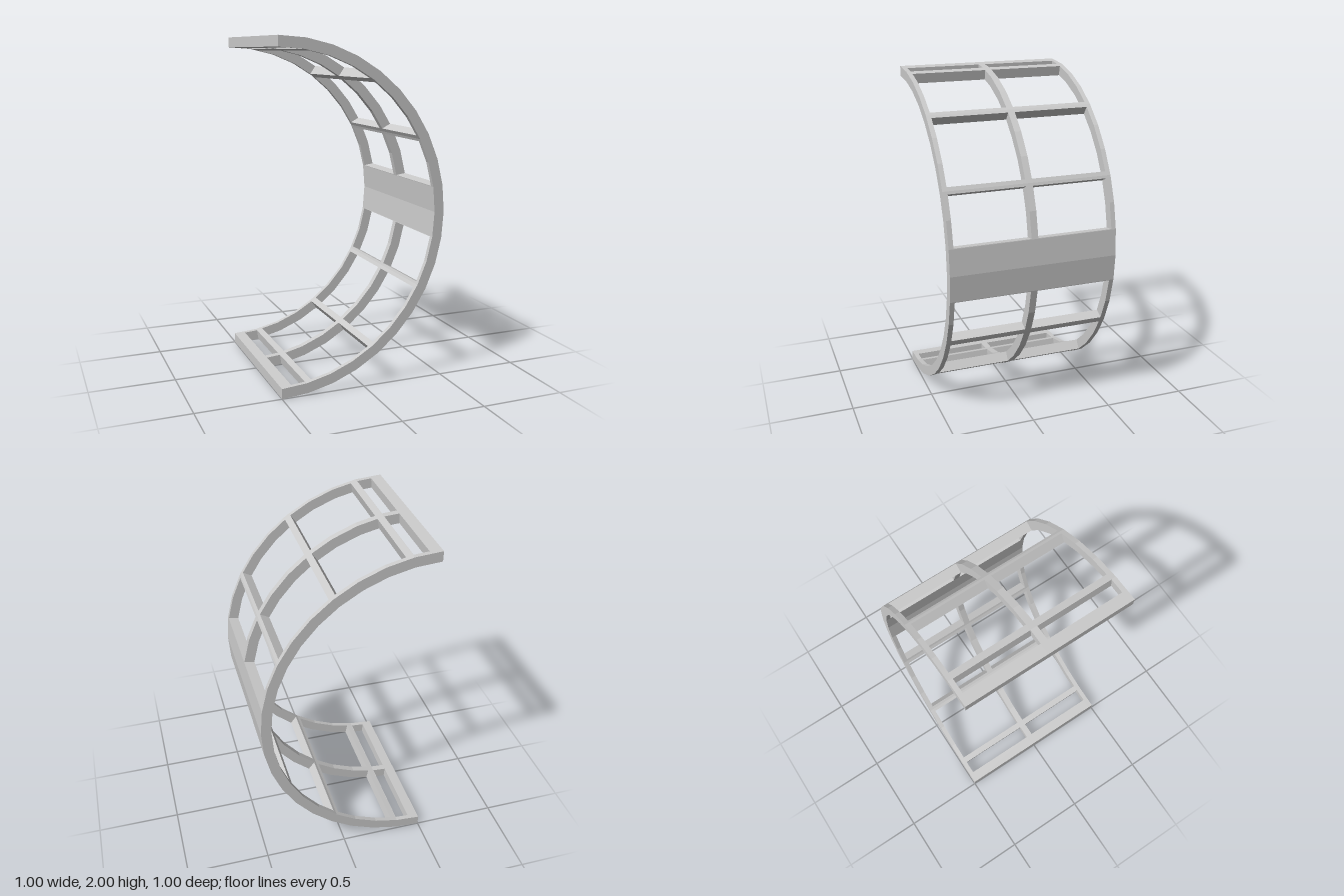
import * as THREE from 'three';

const STEP = 9;            // degrees per facet of the half ring
const OUTER = 1, INNER = 0.94;
const HALF = 0.5, RAIL = 0.028, MID = 0.02;

const material = new THREE.MeshStandardMaterial({ color: 0xcccccc, flatShading: true });

// Point on the faceted arc; the angle runs in degrees from the top (0) to the bottom (180)
function arcPoint(angle, radius) {
  const vertex = (k) => {
    const a = THREE.MathUtils.degToRad(k * STEP);
    return new THREE.Vector2(radius * Math.sin(a) - 0.5, radius * Math.cos(a) + 1);
  };
  const k = Math.floor(angle / STEP);
  return vertex(k).lerp(vertex(k + 1), angle / STEP - k);
}

// Faceted ring sector between two angles, extruded from z0 to z1
function sector(name, from, to, z0, z1) {
  const angles = [from];
  for (let a = (Math.floor(from / STEP) + 1) * STEP; a < to - 1e-6; a += STEP) angles.push(a);
  angles.push(to);
  const outline = [
    ...angles.map((a) => arcPoint(a, OUTER)),
    ...angles.reverse().map((a) => arcPoint(a, INNER)),
  ];
  const geometry = new THREE.ExtrudeGeometry(new THREE.Shape(outline), { depth: z1 - z0, bevelEnabled: false });
  geometry.translate(0, 0, z0);
  const mesh = new THREE.Mesh(geometry, material);
  mesh.name = name;
  return mesh;
}

export function createModel() {
  const group = new THREE.Group();
  group.name = 'curvedFrame';

  // Three curved rails
  group.add(
    sector('frontRail', 0, 180, HALF - RAIL, HALF),
    sector('middleRail', 0, 180, -MID, MID),
    sector('backRail', 0, 180, -HALF, -HALF + RAIL),
  );

  // Cross members: [name, centre angle, half width in degrees]
  const members = [['endBar', 1.92, 1.92]];
  for (const angle of [10.05, 36, 62.8]) members.push(['crossBar', angle, 1.17]);
  for (const [name, angle, half] of [...members]) members.push([name, 180 - angle, half]);
  members.push(['centrePanel', 90, 9.2]);

  // Each member fills both bays between the rails
  for (const [name, angle, half] of members) {
    const member = new THREE.Group();
    member.name = name;
    member.add(
      sector(name + 'Front', angle - half, angle + half, MID, HALF - RAIL),
      sector(name + 'Back', angle - half, angle + half, -HALF + RAIL, -MID),
    );
    group.add(member);
  }
  return group;
}
